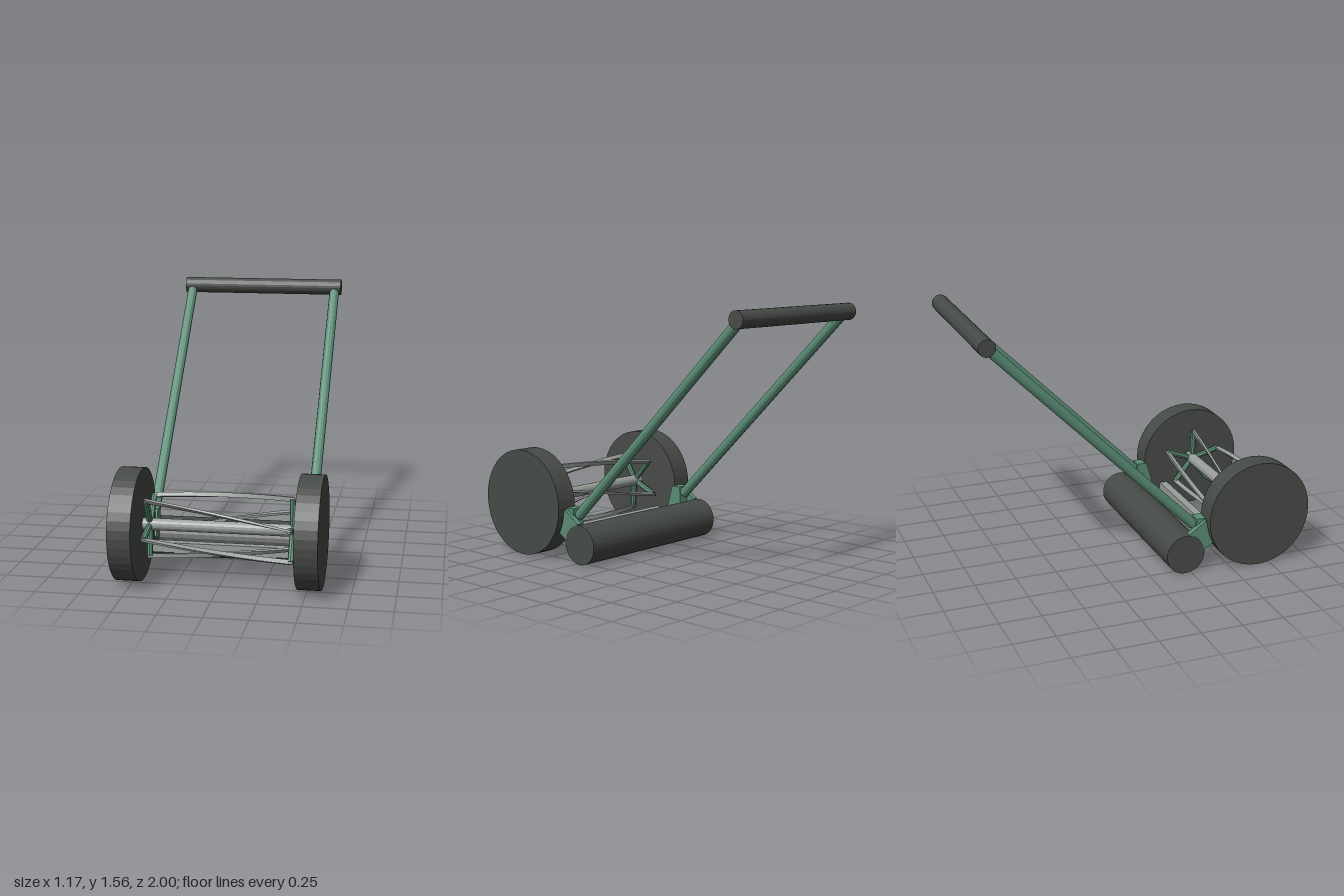
import * as THREE from 'three';

const flat = (name, color) => {
  const m = new THREE.MeshStandardMaterial({ color, flatShading: true });
  m.name = name;
  return m;
};

export function createModel() {
  const model = new THREE.Group();
  model.name = 'reelMower';
  const rubber = flat('dark rubber', 0x474b47);
  const green = flat('green paint', 0x5a8c75);
  const steel = flat('grey steel', 0x989e9a);

  const add = (name, geometry, material, parent = model) => {
    const mesh = new THREE.Mesh(geometry, material);
    mesh.name = name;
    parent.add(mesh);
    return mesh;
  };

  // Round bar between two points
  const bar = (name, from, to, radius, sides, material, parent) => {
    const a = new THREE.Vector3(...from), b = new THREE.Vector3(...to);
    const dir = b.clone().sub(a);
    const mesh = add(name, new THREE.CylinderGeometry(radius, radius, dir.length(), sides), material, parent);
    mesh.position.copy(a).add(b).multiplyScalar(0.5);
    mesh.quaternion.setFromUnitVectors(new THREE.Vector3(0, 1, 0), dir.normalize());
    return mesh;
  };

  // Plate with a [z, y] outline, spanning x0 to x1
  const plate = (name, outline, x0, x1) => {
    const shape = new THREE.Shape(outline.map(([z, y]) => new THREE.Vector2(-z, y)));
    const g = new THREE.ExtrudeGeometry(shape, { depth: x1 - x0, bevelEnabled: false });
    g.rotateY(Math.PI / 2).translate(x0, 0, 0);
    add(name, g, green);
  };

  const cy = 0.327, cz = 0.673;

  // Wheels, handle poles and brackets on both sides
  for (const s of [-1, 1]) {
    const side = s > 0 ? 'left' : 'right';
    bar(side + 'Wheel', [s * 0.45, 0.325, 0.675], [s * 0.583, 0.325, 0.675], 0.325, 40, rubber);
    bar(side + 'Pole', [s * 0.472, 0.28, 0.288], [s * 0.472, 1.495, -0.935], 0.031, 12, green);
    const span = (a, b) => (s > 0 ? [a, b] : [-b, -a]);
    plate(side + 'Bracket', [[0.295, 0.325], [0.36, 0.325], [0.405, 0.17], [0.33, 0.13], [0.29, 0.2]],
      ...span(0.437, 0.515));
    plate(side + 'RollerPlate', [[0.345, 0.318], [0.235, 0.243], [0.3, 0.11], [0.395, 0.17]],
      ...span(0.505, 0.54));
  }

  // Grip, rear roller, axle and bed knife
  bar('grip', [-0.515, 1.51, -0.95], [0.515, 1.51, -0.95], 0.05, 24, rubber);
  bar('rearRoller', [-0.543, 0.12, 0.215], [0.543, 0.12, 0.215], 0.12, 32, rubber);
  bar('axle', [-0.455, cy, cz], [0.455, cy, cz], 0.035, 16, steel);
  add('bedKnife', new THREE.BoxGeometry(0.9, 0.06, 0.05), steel).position.set(0, 0.138, 0.485);

  // Cutting reel: five twisted blades carried by two sets of arms
  const reel = new THREE.Group();
  reel.name = 'reel';
  reel.position.set(0, cy, cz);
  model.add(reel);
  const half = 0.42, radius = 0.184, twist = -Math.PI / 4;
  for (let i = 0; i < 5; i++) {
    const start = Math.PI / 3 - (i * Math.PI * 2) / 5;
    const angleAt = (x) => start + (twist * (x + half)) / (2 * half);

    const g = new THREE.BoxGeometry(half * 2, 0.026, 0.014, 16, 1, 1);
    const p = g.attributes.position;
    for (let k = 0; k < p.count; k++) {
      const x = p.getX(k), r = radius + p.getY(k), t = p.getZ(k), a = angleAt(x);
      p.setXYZ(k, x, r * Math.sin(a) - t * Math.cos(a), r * Math.cos(a) + t * Math.sin(a));
    }
    g.computeVertexNormals();
    add('blade' + (i + 1), g, steel, reel);

    for (const x of [-0.41, 0.41]) {
      const a = angleAt(x);
      bar('reelArm', [x, 0, 0], [x, radius * Math.sin(a), radius * Math.cos(a)], 0.018, 8, green, reel);
    }
  }
  return model;
}
